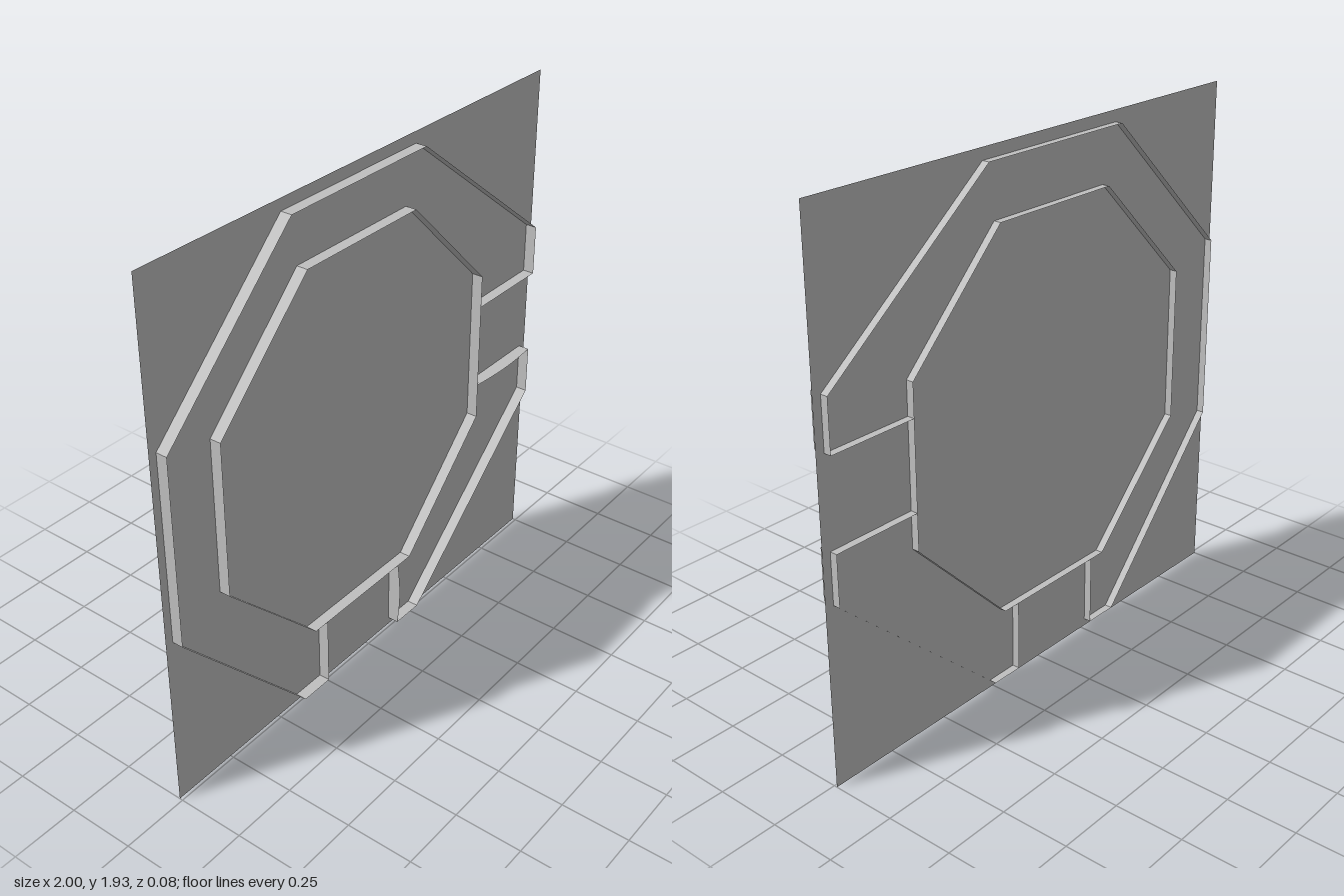
import * as THREE from 'three';

const BACK = -0.04, FRONT = 0.03, PLATE_Z = -0.012;

export function createModel() {
  const model = new THREE.Group();
  const grey = new THREE.MeshStandardMaterial({ color: 0xc0c0c0, side: THREE.DoubleSide });
  grey.name = 'plain grey';

  function add(name, geometry) {
    const mesh = new THREE.Mesh(geometry, grey);
    mesh.name = name;
    model.add(mesh);
    return mesh;
  }

  // Thin upright strip through a list of [x, y] points; bulge bows its front edge
  function wall(name, points, bulge = 0) {
    const pos = [], index = [];
    for (let i = 0; i + 1 < points.length; i++) {
      const [ax, ay] = points[i], [bx, by] = points[i + 1];
      const steps = bulge ? 8 : 1;
      const base = pos.length / 3;
      for (let s = 0; s <= steps; s++) {
        const t = s / steps;
        const x = ax + (bx - ax) * t, y = ay + (by - ay) * t;
        pos.push(x, y, BACK, x, y, FRONT + bulge * Math.sin(Math.PI * t));
        if (s < steps) {
          const k = base + s * 2;
          index.push(k, k + 2, k + 1, k + 1, k + 2, k + 3);
        }
      }
    }
    const geometry = new THREE.BufferGeometry();
    geometry.setAttribute('position', new THREE.Float32BufferAttribute(pos, 3));
    geometry.setIndex(index);
    geometry.computeVertexNormals();
    return add(name, geometry);
  }

  // Flat backing sheet
  add('plate', new THREE.PlaneGeometry(2, 1.935)).position.set(0, 0.9675, PLATE_Z);

  // Closed inner octagon
  const inner = [
    [-0.335, 0.295], [0.21, 0.295], [0.622, 0.705], [0.622, 1.288],
    [0.215, 1.692], [-0.335, 1.692], [-0.75, 1.285], [-0.75, 0.71],
  ];
  wall('innerOctagon', [...inner, inner[0]]);

  // Outer octagon, broken by a gap at the right and one at the bottom
  wall('outerLongWall', [
    [0.967, 1.167], [0.967, 1.354], [0.265, 1.893], [-0.4, 1.893],
    [-0.97, 1.35], [-0.97, 0.65], [-0.4, 0.028], [-0.27, 0.028],
  ]);
  wall('outerCornerWall', [[0.14, 0.028], [0.265, 0.028], [0.967, 0.656], [0.967, 0.842]]);

  // Channel walls joining the gaps to the inner octagon
  wall('sideChannelTop', [[0.622, 1.167], [0.967, 1.167]]);
  wall('sideChannelBottom', [[0.622, 0.842], [0.967, 0.842]], 0.01);
  wall('lowerChannelRight', [[-0.27, 0.028], [-0.27, 0.295]]);
  wall('lowerChannelLeft', [[0.14, 0.028], [0.14, 0.295]], 0.01);

  return model;
}
